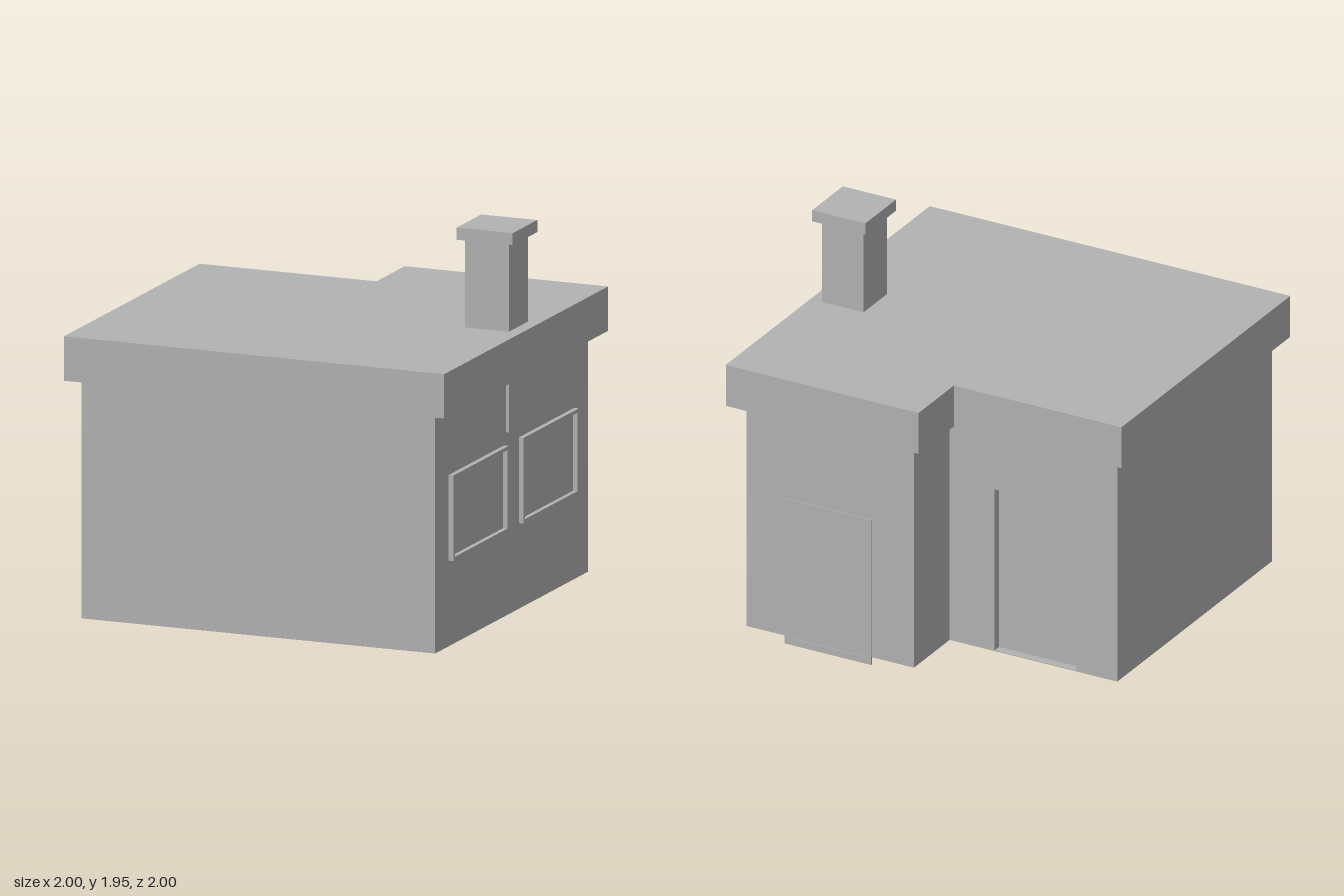
import * as THREE from 'three';

const plaster = new THREE.MeshStandardMaterial({ color: 0xb2b2b2 });
plaster.name = 'plaster grey';

function add(group, name, geometry) {
  const mesh = new THREE.Mesh(geometry, plaster);
  mesh.name = name;
  group.add(mesh);
  return mesh;
}

// Upright prism over a floor plan given as [x, z] points
function prism(plan, y0, y1) {
  const shape = new THREE.Shape(plan.map(([x, z]) => new THREE.Vector2(x, -z)));
  const geometry = new THREE.ExtrudeGeometry(shape, { depth: y1 - y0, bevelEnabled: false });
  return geometry.rotateX(-Math.PI / 2).translate(0, y0, 0);
}

// Box given by its limits
function block(x0, x1, y0, y1, z0, z1) {
  return new THREE.BoxGeometry(x1 - x0, y1 - y0, z1 - z0)
    .translate((x0 + x1) / 2, (y0 + y1) / 2, (z0 + z1) / 2);
}

// Rectangular frame, centred, extruded towards +z
function frame(width, height, border, depth) {
  const rect = (Type, w, h) => new Type([
    new THREE.Vector2(-w / 2, -h / 2), new THREE.Vector2(w / 2, -h / 2),
    new THREE.Vector2(w / 2, h / 2), new THREE.Vector2(-w / 2, h / 2),
  ]);
  const shape = rect(THREE.Shape, width, height);
  shape.holes.push(rect(THREE.Path, width - 2 * border, height - 2 * border));
  return new THREE.ExtrudeGeometry(shape, { depth, bevelEnabled: false });
}

// L-shaped plan; recess holds extra points along the set-back rear wall
function lPlan(x0, x1, z0, z1, notchX, notchZ, recess = []) {
  return [[x0, z1], [x1, z1], [x1, z0], [notchX, z0], [notchX, notchZ], ...recess, [x0, notchZ]];
}

export function createModel() {
  const house = new THREE.Group();
  house.name = 'house';

  // Walls, with a shallow doorway in the set-back rear wall
  const doorway = [[-0.26, -0.59], [-0.26, -0.55], [-0.71, -0.55], [-0.71, -0.59]];
  const walls = (recess) => lPlan(-0.94, 0.92, -0.94, 0.925, -0.01, -0.59, recess);
  add(house, 'floor', prism(walls(), 0.04, 0.045));
  add(house, 'lowerWalls', prism(walls(doorway), 0.045, 0.91));
  add(house, 'upperWalls', prism(walls(), 0.91, 1.23));

  // Flat overhanging roof
  add(house, 'roof', prism(lPlan(-1, 1, -1, 1, -0.07, -0.655), 1.23, 1.45));

  // Chimney
  add(house, 'chimneyShaft', block(0.705, 0.935, 0.95, 1.89, -0.17, 0.06));
  add(house, 'chimneyCap', block(0.675, 0.97, 1.89, 1.95, -0.205, 0.095));

  // Framed windows on the +x wall
  for (const z of [0.4225, -0.4325]) {
    const window = new THREE.Group();
    window.name = 'window';
    window.position.set(0.92, 0.6775, z);
    window.rotation.y = Math.PI / 2;
    add(window, 'windowFrame', frame(0.675, 0.425, 0.018, 0.025));
    add(window, 'windowPane', new THREE.BoxGeometry(0.64, 0.39, 0.004));
    house.add(window);
  }

  // Thin rear door on the wing, reaching just below the wall
  add(house, 'rearDoor', block(0.225, 0.705, 0, 0.78, -0.942, -0.938));
  const doorFrame = add(house, 'rearDoorFrame', frame(0.48, 0.78, 0.035, 0.003));
  doorFrame.position.set(0.465, 0.39, -0.942);
  doorFrame.rotation.y = Math.PI;

  return house;
}
